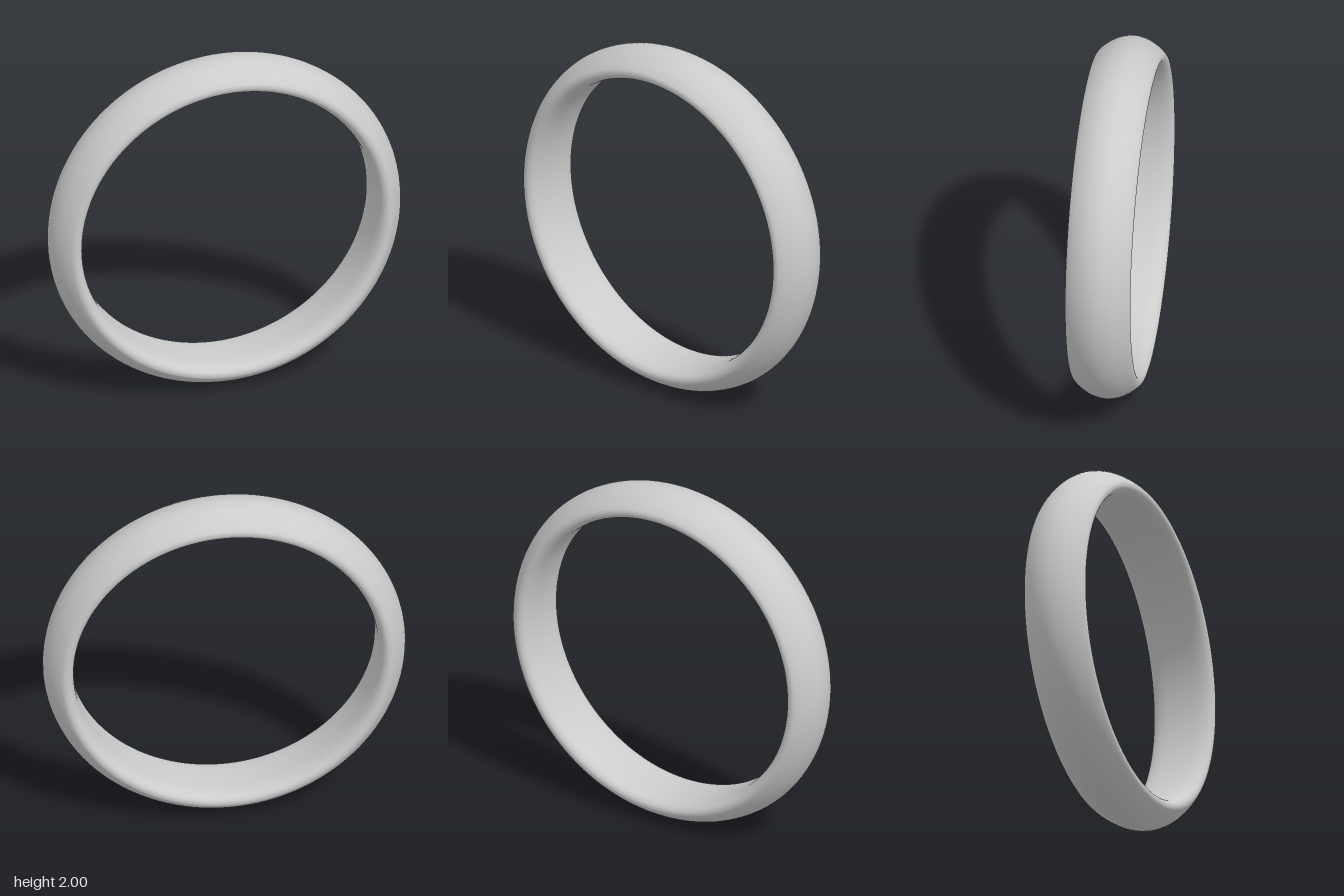
import * as THREE from 'three';

export function createModel() {
  const group = new THREE.Group();
  group.name = 'ring';

  // Half of the D-shaped section (radius, half width), from inner middle to outer middle
  const half = [
    [0.84, 0], [0.841, 0.06], [0.845, 0.115], [0.857, 0.155], [0.875, 0.175],
    [0.895, 0.18], [0.916, 0.172], [0.948, 0.138], [0.978, 0.09], [0.994, 0.045], [1, 0],
  ];
  // Closed section: inner middle, lower edge, outer middle, upper edge
  const section = [
    ...half.map(([r, w]) => new THREE.Vector2(r, -w)),
    ...half.slice(1, -1).reverse().map(([r, w]) => new THREE.Vector2(r, w)),
    new THREE.Vector2(0.84, 0),
  ];
  const profile = new THREE.SplineCurve(section).getPoints(80);

  // Domed band, standing upright with its axis along z
  const geometry = new THREE.LatheGeometry(profile, 160);
  geometry.rotateX(Math.PI / 2);
  const band = new THREE.Mesh(geometry, new THREE.MeshStandardMaterial({ color: 0xcccccc }));
  band.name = 'band';
  band.position.y = 1;
  group.add(band);

  return group;
}
